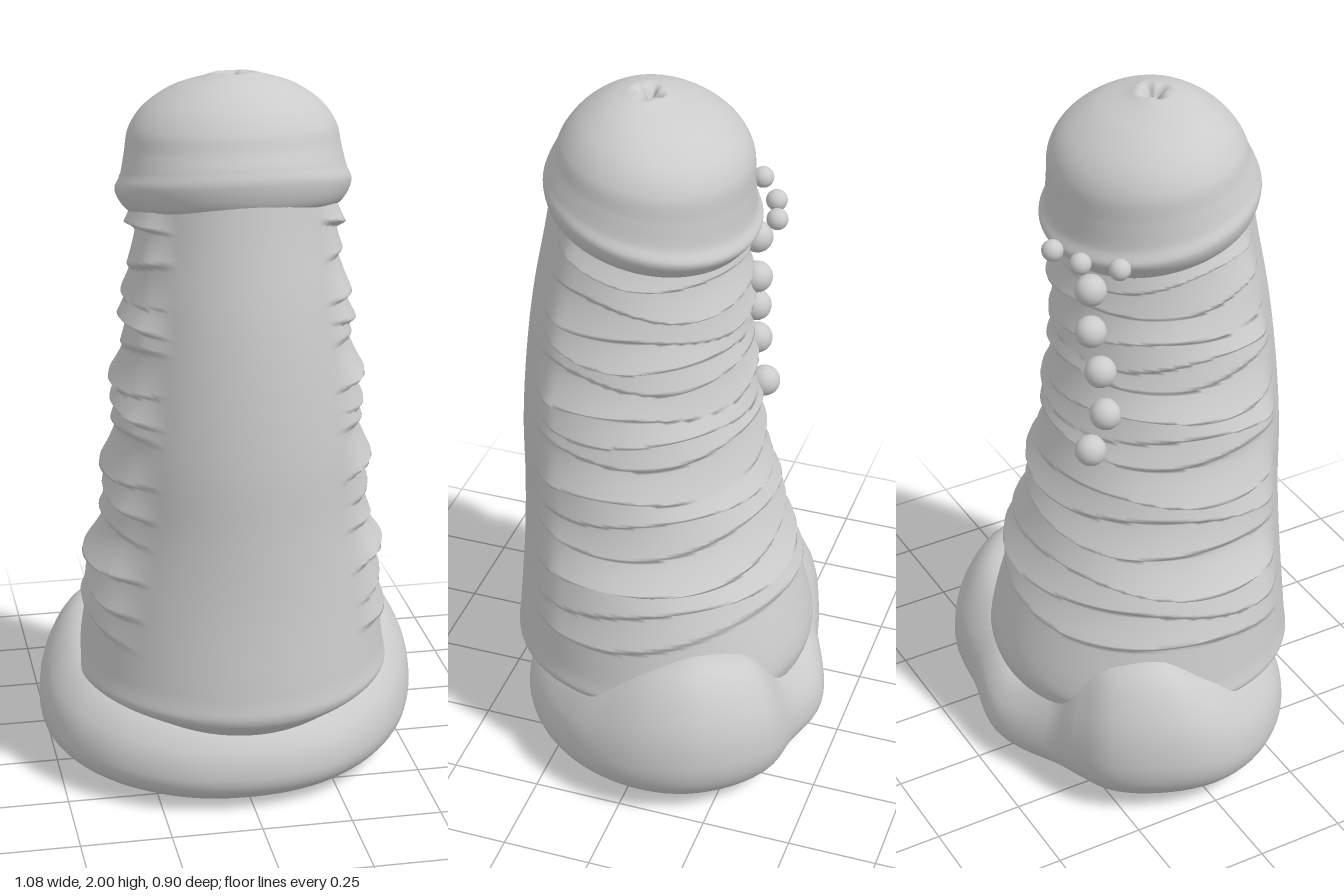
import * as THREE from 'three';
import { ParametricGeometry } from 'three/addons/geometries/ParametricGeometry.js';

const { smoothstep, lerp } = THREE.MathUtils;
const material = new THREE.MeshStandardMaterial({ color: 0xcccccc, side: THREE.DoubleSide });

// Smooth interpolation of table rows; the first column is the key.
function sample(table, key) {
  const n = table.length;
  let i = 0;
  while (i < n - 2 && key > table[i + 1][0]) i++;
  const p = table[i], q = table[i + 1];
  const before = table[Math.max(i - 1, 0)], after = table[Math.min(i + 2, n - 1)];
  const h = q[0] - p[0], t = THREE.MathUtils.clamp((key - p[0]) / h, 0, 1);
  const t2 = t * t, t3 = t2 * t;
  return p.slice(1).map((a, k) => {
    const c = k + 1, b = q[c];
    const m0 = (b - before[c]) / (q[0] - before[0]) * h;
    const m1 = (after[c] - a) / (after[0] - p[0]) * h;
    return (2 * t3 - 3 * t2 + 1) * a + (t3 - 2 * t2 + t) * m0 + (3 * t2 - 2 * t3) * b + (t3 - t2) * m1;
  });
}

// Tilted elliptical ring: front z, front y, back z, back y, half width.
function ringPoint([fz, fy, bz, by, hw], angle, out, target) {
  const s = Math.sin(angle), c = Math.cos(angle), f = (1 + c) / 2;
  return target.set((hw + out) * s, lerp(by, fy, f), (fz + bz) / 2 + ((fz - bz) / 2 + out) * c);
}

const withKeys = (rows) => rows.map((r, i) => [i / (rows.length - 1), ...r]);

const shaftRings = withKeys([
  [0.40, 0.235, -0.35, 0.22, 0.38],
  [0.45, 0.29, -0.39, 0.28, 0.435],
  [0.448, 0.37, -0.39, 0.37, 0.428],
  [0.43, 0.6, -0.32, 0.6, 0.395],
  [0.425, 0.8, -0.265, 0.8, 0.355],
  [0.425, 1.0, -0.22, 1.0, 0.335],
  [0.412, 1.2, -0.19, 1.2, 0.31],
  [0.388, 1.4, -0.18, 1.4, 0.285],
  [0.35, 1.6, -0.18, 1.55, 0.265],
  [0.325, 1.74, -0.18, 1.66, 0.255],
]);

const capRings = withKeys([
  [0.29, 1.66, -0.17, 1.56, 0.25],
  [0.33, 1.70, -0.205, 1.60, 0.295],
  [0.345, 1.76, -0.225, 1.63, 0.315],
  [0.335, 1.80, -0.21, 1.67, 0.30],
  [0.315, 1.84, -0.205, 1.74, 0.288],
  [0.295, 1.885, -0.20, 1.82, 0.275],
  [0.255, 1.935, -0.165, 1.885, 0.235],
  [0.20, 1.975, -0.09, 1.945, 0.165],
  [0.145, 1.998, 0.0, 1.982, 0.085],
  [0.10, 2.0, 0.04, 1.995, 0.035],
  [0.072, 1.96, 0.066, 1.96, 0.003],
]);

// Folds: height, depth
const folds = [
  [0.5, 0.02], [0.59, 0.03], [0.67, 0.035], [0.78, 0.025], [0.87, 0.03], [0.94, 0.03],
  [1.06, 0.025], [1.12, 0.03], [1.19, 0.035], [1.29, 0.025], [1.35, 0.03], [1.42, 0.03],
  [1.51, 0.03], [1.6, 0.03],
];

// Each fold has a sharp lower lip and fades upward; the front stays smooth.
function foldHeight(y, angle) {
  const c = Math.cos(angle);
  const mask = smoothstep(-c, -0.72, -0.4);
  let best = 0;
  folds.forEach(([height, depth], i) => {
    const slope = lerp(-0.035, 0.045, (height - 0.5) / 1.1);
    const lip = height + slope * c + 0.014 * Math.sin(3 * angle + i * 1.9);
    const d = y - lip;
    const bump = d < 0 ? smoothstep(d, -0.022, 0) : Math.max(0, 1 - d / 0.11) ** 1.5;
    const vary = 0.8 + 0.3 * Math.sin(2 * angle + i * 2.3);
    best = Math.max(best, depth * vary * bump);
  });
  return best * mask;
}

// Foot outline: angle from the front towards the left, radius, height
const footOutline = [
  [-34, 0.445, 0.265], [0, 0.42, 0.26], [35, 0.44, 0.265], [58, 0.47, 0.3], [79, 0.51, 0.36],
  [100, 0.55, 0.44], [117, 0.56, 0.47], [139, 0.53, 0.43], [156, 0.46, 0.32], [180, 0.45, 0.25],
  [208, 0.43, 0.32], [221, 0.465, 0.4], [234, 0.515, 0.45], [254, 0.54, 0.47], [270, 0.54, 0.40],
  [285, 0.515, 0.33], [300, 0.485, 0.29], [326, 0.445, 0.265], [360, 0.42, 0.26], [395, 0.44, 0.265],
];

// Foot section: step, share of radius, share of height
const footSection = [
  [0, 0.01, 0], [0.2, 0.66, 0], [0.3, 0.82, 0.06], [0.42, 0.96, 0.23], [0.53, 1, 0.43],
  [0.7, 0.95, 0.73], [0.85, 0.8, 0.97], [1, 0.55, 1],
];

function surface(name, rule, around, up) {
  const fn = (u, v, target) => rule(u * Math.PI * 2, v, target);
  const mesh = new THREE.Mesh(new ParametricGeometry(fn, around, up), material);
  mesh.name = name;
  return mesh;
}

export function createModel() {
  const model = new THREE.Group();
  model.name = 'model';

  // Lobed foot
  model.add(surface('foot', (angle, v, target) => {
    const [radius, height] = sample(footOutline, angle * 180 / Math.PI);
    const [r, h] = sample(footSection, v);
    target.set(Math.sin(angle) * radius * r, Math.max(0, height * h), Math.cos(angle) * radius * r);
  }, 96, 40));

  // Wrinkled column, its lower edge raised at the sides
  model.add(surface('column', (angle, v, target) => {
    const ring = sample(shaftRings, v);
    const y = lerp(ring[3], ring[1], (1 + Math.cos(angle)) / 2);
    ringPoint(ring, angle, foldHeight(y, angle), target);
    target.y += 0.06 * Math.sin(angle) ** 2 * (1 - v) ** 8;
  }, 96, 220));

  // Rounded cap with a tilted rim and a small star dimple
  model.add(surface('cap', (angle, v, target) => {
    ringPoint(sample(capRings, v), angle, 0, target);
    target.y -= 0.012 * smoothstep(v, 0.84, 0.92) * (1 + Math.cos(4 * angle)) / 2;
  }, 80, 80));

  // Beads: three small ones under the rim, five larger ones in a row below
  const beads = new THREE.Group();
  beads.name = 'beads';
  const addBead = (name, radius, position) => {
    const bead = new THREE.Mesh(new THREE.SphereGeometry(radius, 24, 16), material);
    bead.name = name;
    bead.position.copy(position);
    beads.add(bead);
  };
  for (const [x, y, z] of [[-0.245, 1.66, -0.165], [-0.155, 1.65, -0.23], [-0.06, 1.65, -0.26]]) {
    addBead('smallBead', 0.029, new THREE.Vector3(x, y, z));
  }
  for (const [y, degrees] of [[1.545, 205], [1.42, 204], [1.31, 209], [1.19, 212], [1.07, 206]]) {
    const v = (5 + (y - 1) / 0.2) / 9;
    const p = ringPoint(sample(shaftRings, v), degrees * Math.PI / 180, 0.035, new THREE.Vector3());
    addBead('largeBead', 0.043, p.setY(y));
  }
  model.add(beads);
  return model;
}
